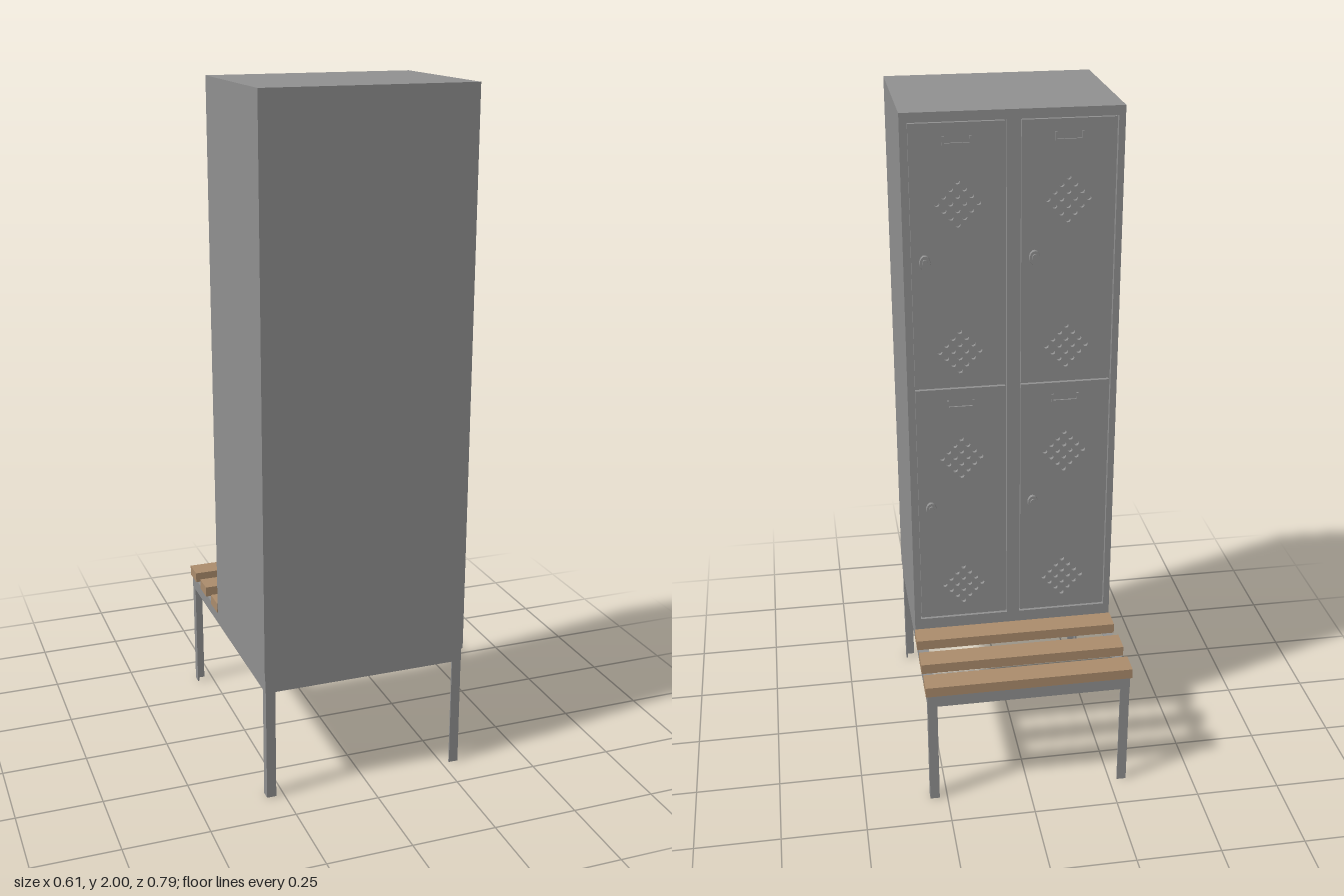
import * as THREE from 'three';

const grey = new THREE.MeshStandardMaterial({ color: 0x909090 });
grey.name = 'steel grey';
const wood = new THREE.MeshStandardMaterial({ color: 0xab8c6c });
wood.name = 'bench wood';

// Box given by its minimum and maximum corners
function box(name, mat, [x0, y0, z0], [x1, y1, z1]) {
  const mesh = new THREE.Mesh(new THREE.BoxGeometry(x1 - x0, y1 - y0, z1 - z0), mat);
  mesh.position.set((x0 + x1) / 2, (y0 + y1) / 2, (z0 + z1) / 2);
  mesh.name = name;
  return mesh;
}

// Closed rectangle, used as an outline or as a hole
function rect(PathType, x0, y0, x1, y1) {
  const p = new PathType();
  p.moveTo(x0, y0).lineTo(x1, y0).lineTo(x1, y1).lineTo(x0, y1).closePath();
  return p;
}

function extrude(name, shape, depth) {
  const geo = new THREE.ExtrudeGeometry(shape, { depth, bevelEnabled: false, curveSegments: 5 });
  const mesh = new THREE.Mesh(geo, grey);
  mesh.name = name;
  return mesh;
}

// L-shaped section with its outer corner at the origin
function angleShape(w, h, t) {
  const s = new THREE.Shape();
  s.moveTo(0, 0).lineTo(w, 0).lineTo(w, t).lineTo(t, t).lineTo(t, h).lineTo(0, h).closePath();
  return s;
}

const FRONT = -0.083, BACK = 0.395, W = 0.305, BASE = 0.375, TOP = 2;
const DOOR_W = 0.26, DOOR_H = 0.76;
const doorX = [-0.1525, 0.1525];
const doorY = [0.825, 1.59];

// One door, centred on its own origin, outer face towards -z
function makeDoor() {
  const door = new THREE.Group();
  door.name = 'door';
  const s = rect(THREE.Shape, -DOOR_W / 2, -DOOR_H / 2, DOOR_W / 2, DOOR_H / 2);
  // Diamond-shaped vent patterns
  for (const cy of [-0.27, 0.16]) {
    for (let i = 0; i < 4; i++) for (let j = 0; j < 4; j++) {
      const hole = new THREE.Path();
      hole.absarc((i - j) * 0.019, cy + (i + j - 3) * 0.02, 0.0075, 0, Math.PI * 2, true);
      s.holes.push(hole);
    }
  }
  door.add(extrude('doorPanel', s, 0.012));

  // Label holder near the top
  const holder = new THREE.Group();
  holder.name = 'labelHolder';
  holder.add(
    box('holderBottom', grey, [-0.04, 0.32, -0.005], [0.04, 0.326, 0.002]),
    box('holderSide', grey, [-0.04, 0.326, -0.005], [-0.034, 0.345, 0.002]),
    box('holderSide', grey, [0.034, 0.326, -0.005], [0.04, 0.345, 0.002]));
  door.add(holder);

  // Oval lock with a raised centre
  const lock = new THREE.Group();
  lock.name = 'lock';
  for (const [r, depth] of [[0.016, 0.01], [0.009, 0.014]]) {
    const geo = new THREE.CylinderGeometry(r * 0.9, r, depth, 20);
    geo.rotateX(-Math.PI / 2).translate(0, 0, -depth / 2);
    const part = new THREE.Mesh(geo, grey);
    part.scale.y = 1.4;
    part.name = 'lockBody';
    lock.add(part);
  }
  lock.position.set(0.093, -0.003, 0.002);
  door.add(lock);
  return door;
}

export function createModel() {
  const model = new THREE.Group();
  model.name = 'lockerWithBench';

  // Cabinet body and front frame
  const cabinet = new THREE.Group();
  cabinet.name = 'cabinet';
  cabinet.add(box('carcass', grey, [-W, BASE, FRONT + 0.014], [W, TOP, BACK]));
  const frame = rect(THREE.Shape, -W, BASE, W, TOP);
  for (const x of doorX) {
    frame.holes.push(rect(THREE.Path, x - DOOR_W / 2 - 0.004, 0.441, x + DOOR_W / 2 + 0.004, 1.974));
  }
  const frontFrame = extrude('frontFrame', frame, 0.014);
  frontFrame.position.z = FRONT;
  cabinet.add(frontFrame);

  // Two columns of two doors
  for (const x of doorX) for (const y of doorY) {
    const door = makeDoor();
    door.position.set(x, y, FRONT + 0.003);
    cabinet.add(door);
  }
  model.add(cabinet);

  // Angle-iron stand
  const stand = new THREE.Group();
  stand.name = 'stand';
  const X = 0.302, Z = 0.392, RAIL = 0.335, T = 0.005;
  for (const sx of [-1, 1]) {
    // Side rail: upright web and top flange
    const span = (a, b) => [Math.min(a * sx, b * sx), Math.max(a * sx, b * sx)];
    const [w0, w1] = span(X, X - T), [f0, f1] = span(X - T, X - 0.03);
    stand.add(
      box('sideRailWeb', grey, [w0, RAIL, -Z], [w1, BASE, Z]),
      box('sideRailFlange', grey, [f0, BASE - T, -Z], [f1, BASE, Z]));
    for (const sz of [-1, 1]) {
      // Leg with its open side facing the centre
      const leg = extrude('leg', angleShape(0.028, 0.028, T), BASE - T);
      leg.geometry.rotateX(-Math.PI / 2);
      const turn = { '-1,1': 0, '1,1': 1, '1,-1': 2, '-1,-1': 3 }[[sx, sz].join()];
      leg.rotation.y = turn * Math.PI / 2;
      leg.position.set(sx * (X - 0.0005), 0, sz * (Z - 0.0005));
      stand.add(leg);
    }
  }
  for (const sz of [-1, 1]) {
    const span = (a, b) => [Math.min(a * sz, b * sz), Math.max(a * sz, b * sz)];
    const [w0, w1] = span(Z, Z - T), [f0, f1] = span(Z - T, Z - 0.03);
    stand.add(
      box('endRailWeb', grey, [-X + T, RAIL, w0], [X - T, BASE, w1]),
      box('endRailFlange', grey, [-X + 0.03, BASE - T, f0], [X - 0.03, BASE, f1]));
  }
  model.add(stand);

  // Bench slats
  const bench = new THREE.Group();
  bench.name = 'bench';
  for (const z of [-0.398, -0.279, -0.152]) {
    bench.add(box('slat', wood, [-0.307, BASE, z], [0.307, 0.406, z + 0.068]));
  }
  model.add(bench);
  return model;
}
